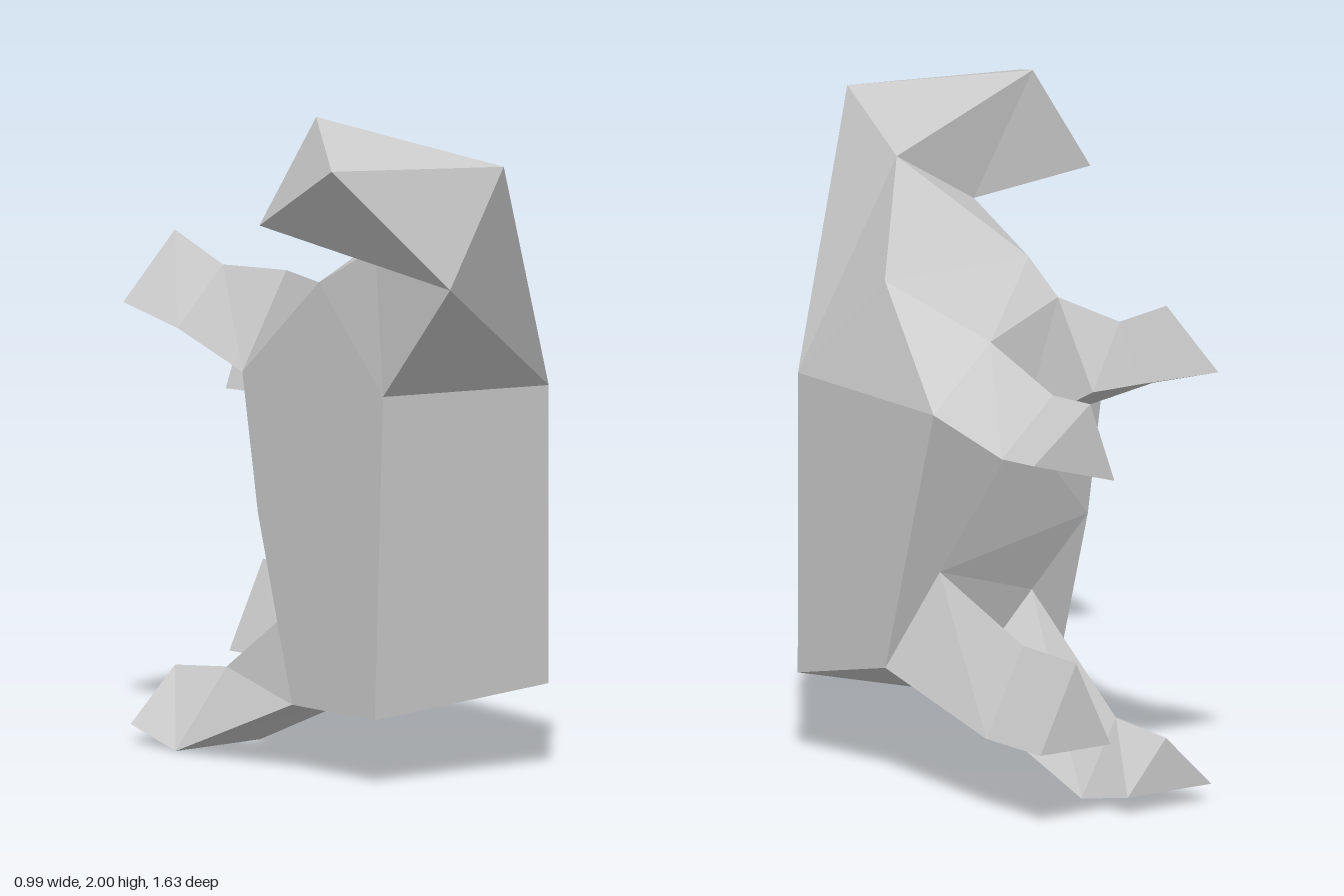
import * as THREE from 'three';

// Corner points of the low-poly animal, shared between the body and its limbs
const P = {
  // head
  brow: [-0.5, 1.9, 0.64], cheek: [0.005, 1.89, 0.815], jaw: [-0.175, 1.535, 0.79],
  crown: [-0.275, 2, 0.273], nose: [-0.463, 1.69, 0.243],
  // neck
  napeL: [0.125, 1.77, 0.405], napeR: [-0.142, 1.61, 0.385],
  neckL: [0.37, 1.48, 0.13], neckR: [-0.155, 1.48, 0.13],
  // flat front panel
  lowR: [-0.155, 0.207, 0.4], lowL: [0.49, 0.26, 0.4], topL: [0.46, 1.155, 0.44], topR: [-0.155, 1.175, 0.44],
  // shoulders and upper limb roots
  shoulderL: [0.485, 1.165, -0.27], shoulderR: [-0.155, 1.17, -0.24],
  armTopL: [0.27, 1.355, -0.26], armTopR: [0.02, 1.455, -0.255], chest: [0.15, 1.08, -0.26],
  // belly and lower limb roots
  flank: [-0.155, 0.76, -0.165], hipL: [0.485, 0.355, -0.03], hipR: [-0.155, 0.207, 0],
  thighL: [0.356, 0.645, -0.125], thighR: [-0.02, 0.53, -0.07], crotch: [0.2, 0.235, 0],
};

// Flat-shaded mesh from polygons, each fanned from its first corner
function facetMesh(name, polygons) {
  const pos = [];
  for (const p of polygons)
    for (let i = 1; i < p.length - 1; i++) pos.push(...p[0], ...p[i], ...p[i + 1]);
  const geo = new THREE.BufferGeometry();
  geo.setAttribute('position', new THREE.Float32BufferAttribute(pos, 3));
  geo.computeVertexNormals();
  const mesh = new THREE.Mesh(geo, new THREE.MeshStandardMaterial({ color: 0xcccccc, flatShading: true }));
  mesh.name = name;
  return mesh;
}

const named = (faces) => faces.map((f) => f.split(' ').map((k) => P[k]));

// Three-sided limb: root, joint and end sections, closed at the end
function limb(name, root, joint, end) {
  const rings = [root.split(' ').map((k) => P[k]), joint, end];
  const polys = [end];
  for (let r = 0; r < 2; r++)
    for (let i = 0; i < 3; i++) {
      const j = (i + 1) % 3;
      polys.push([rings[r][i], rings[r][j], rings[r + 1][j], rings[r + 1][i]]);
    }
  return facetMesh(name, polys);
}

export function createModel() {
  const model = new THREE.Group();
  model.name = 'lowPolyAnimal';

  model.add(facetMesh('head', named([
    'jaw cheek brow', 'cheek crown brow', 'cheek napeL crown', 'brow crown nose',
    'jaw brow nose', 'crown napeL napeR nose', 'jaw nose napeR',
  ])));

  model.add(facetMesh('neck', named([
    'topR topL jaw', 'topL cheek jaw', 'topL napeL cheek', 'topL neckL napeL',
    'topL shoulderL neckL', 'jaw napeR topR', 'napeL neckL neckR napeR', 'topR napeR neckR',
  ])));

  model.add(facetMesh('torso', named([
    // front, sides and underside
    'lowL topL topR lowR', 'lowL hipL shoulderL topL', 'topR shoulderR flank hipR lowR',
    'topR neckR shoulderR', 'crotch hipL lowL lowR hipR',
    // shoulder slopes
    'neckR neckL armTopL', 'neckL shoulderL armTopL', 'neckR armTopL armTopR',
    'neckR armTopR shoulderR', 'armTopR armTopL chest',
    // belly between the limbs
    'flank shoulderR chest', 'flank chest thighL', 'chest shoulderL thighL', 'shoulderL hipL thighL',
    'flank thighL thighR', 'flank thighR hipR', 'thighL crotch thighR',
  ])));

  // Upper limbs
  model.add(limb('rightUpperLimb', 'armTopR chest shoulderR',
    [[0.015, 1.437, -0.555], [0.145, 1.25, -0.6], [-0.12, 1.255, -0.6]],
    [[-0.01, 1.52, -0.755], [0.13, 1.315, -0.82], [-0.155, 1.31, -0.815]]));
  model.add(limb('leftUpperLimb', 'armTopL shoulderL chest',
    [[0.28, 1.257, -0.585], [0.463, 1.088, -0.58], [0.215, 1.03, -0.575]],
    [[0.29, 1.27, -0.785], [0.47, 1.1, -0.75], [0.2, 1.025, -0.782]]));

  // Lower limbs
  model.add(limb('rightLowerLimb', 'thighR crotch hipR',
    [[0.025, 0.24, -0.55], [0.15, 0.012, -0.55], [-0.165, 0.005, -0.55]],
    [[0.01, 0.22, -0.78], [0.15, 0.058, -0.78], [-0.155, 0.058, -0.78]]));
  model.add(limb('leftLowerLimb', 'thighL hipL crotch',
    [[0.36, 0.503, -0.545], [0.49, 0.238, -0.54], [0.23, 0.238, -0.54]],
    [[0.36, 0.5, -0.81], [0.49, 0.238, -0.81], [0.235, 0.238, -0.81]]));

  return model;
}
